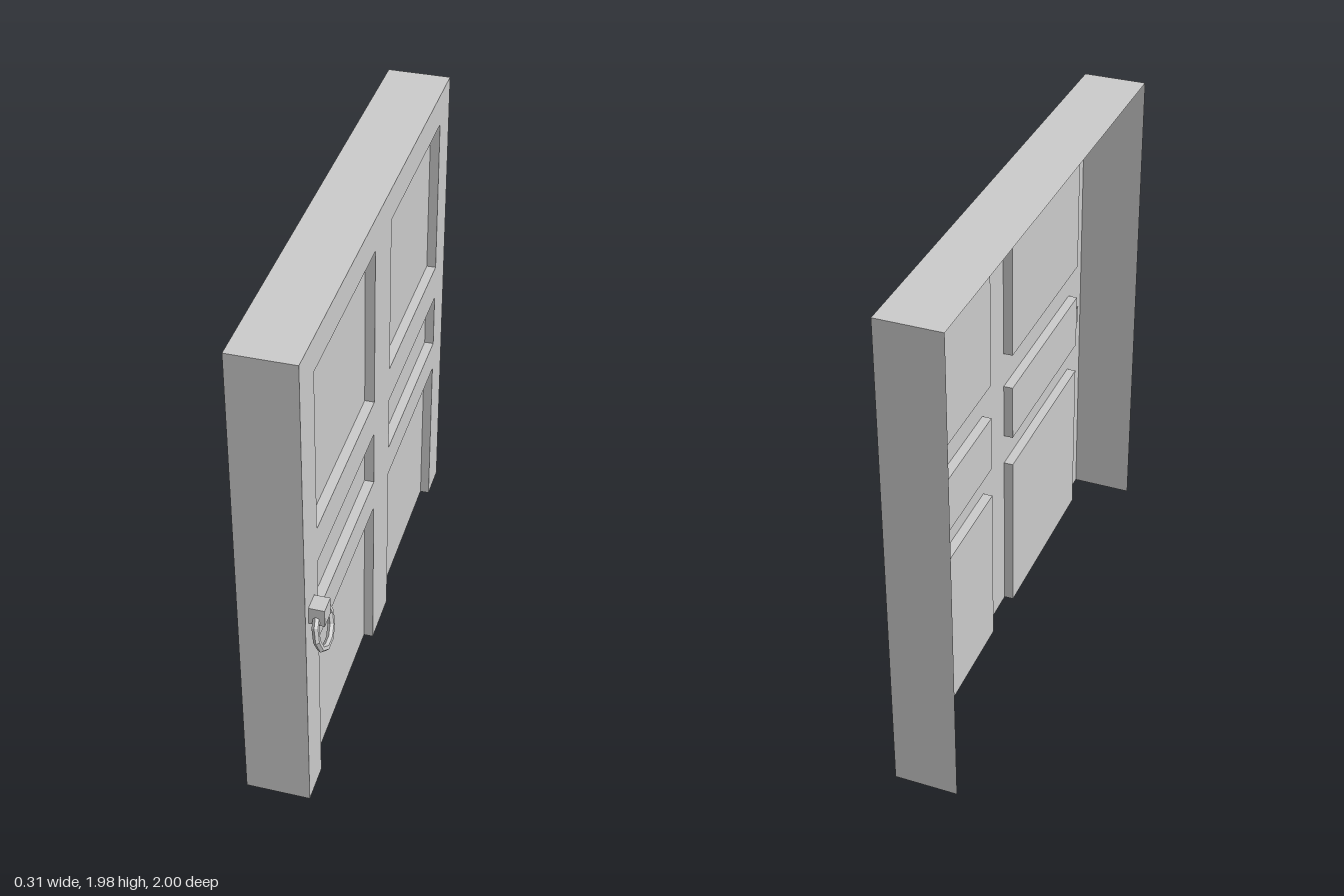
import * as THREE from 'three';

const FRONT = 0.084, BACK = -0.162, DEPTH = 0.037; // door face, open rear edge, panel recess
const Z0 = -1, Z1 = 0.985, TOP = 1.98;
const COLUMNS = [[0.1, 0.835], [-0.85, -0.118]]; // z ranges of panels
const ROWS = [[1.2, 1.852], [0.82, 1.052], [0, 0.69]]; // y ranges of panels

const sheetMaterial = new THREE.MeshStandardMaterial({ color: 0xcccccc, side: THREE.DoubleSide, flatShading: true });
const solidMaterial = new THREE.MeshStandardMaterial({ color: 0xcccccc, flatShading: true });

// Flat four-cornered sheet
function sheet(name, corners) {
  const g = new THREE.BufferGeometry();
  g.setAttribute('position', new THREE.Float32BufferAttribute(corners.flat(), 3));
  g.setIndex([0, 1, 2, 0, 2, 3]);
  g.computeVertexNormals();
  const mesh = new THREE.Mesh(g, sheetMaterial);
  mesh.name = name;
  return mesh;
}

// Wall running front to back (xa to xb) above the edge (ya, za) - (yb, zb)
const wall = (name, xa, xb, [ya, za], [yb, zb]) =>
  sheet(name, [[xa, ya, za], [xa, yb, zb], [xb, yb, zb], [xb, ya, za]]);

const points = (list) => list.map(([z, y]) => new THREE.Vector2(-z, y));

export function createModel() {
  const model = new THREE.Group();
  const door = new THREE.Group();
  door.name = 'door';
  model.add(door);

  // Door face: lower panels notch the outline, the others are holes
  const outline = [[Z1, 0]];
  for (const [za, zb] of COLUMNS) {
    const y = ROWS[2][1];
    outline.push([zb, 0], [zb, y], [za, y], [za, 0]);
  }
  outline.push([Z0, 0], [Z0, TOP], [Z1, TOP]);
  const shape = new THREE.Shape(points(outline));
  for (const [za, zb] of COLUMNS)
    for (const [ya, yb] of ROWS.slice(0, 2))
      shape.holes.push(new THREE.Path(points([[za, ya], [za, yb], [zb, yb], [zb, ya]])));
  const face = new THREE.Mesh(new THREE.ShapeGeometry(shape).rotateY(Math.PI / 2), sheetMaterial);
  face.position.x = FRONT;
  face.name = 'doorFace';
  door.add(face);

  // Outer edges, open at the rear and underneath
  door.add(
    wall('topEdge', BACK, FRONT, [TOP, Z1], [TOP, Z0]),
    wall('handleEdge', BACK, FRONT, [0, Z1], [TOP, Z1]),
    wall('hingeEdge', BACK, FRONT, [TOP, Z0], [0, Z0]),
  );

  // Recessed panels
  const inner = FRONT - DEPTH;
  for (const [za, zb] of COLUMNS) {
    for (const [ya, yb] of ROWS) {
      const panel = new THREE.Group();
      panel.name = 'recessedPanel';
      panel.add(
        sheet('panelFloor', [[inner, ya, zb], [inner, ya, za], [inner, yb, za], [inner, yb, zb]]),
        wall('panelTop', inner, FRONT, [yb, za], [yb, zb]),
        wall('panelSide', inner, FRONT, [ya, za], [yb, za]),
        wall('panelSide', inner, FRONT, [yb, zb], [ya, zb]),
      );
      if (ya > 0) panel.add(wall('panelSill', inner, FRONT, [ya, zb], [ya, za]));
      door.add(panel);
    }
  }

  // Ring handle hanging from a small block
  const handle = new THREE.Group();
  handle.name = 'handle';
  const mount = new THREE.Mesh(new THREE.BoxGeometry(0.062, 0.072, 0.07), solidMaterial);
  mount.position.set(0.111, 0.902, 0.914);
  mount.name = 'handleMount';
  const ring = new THREE.Mesh(new THREE.TorusGeometry(0.079, 0.0135, 6, 10).rotateY(Math.PI / 2), solidMaterial);
  ring.position.set(0.124, 0.825, 0.907);
  ring.rotation.z = 0.2;
  ring.name = 'handleRing';
  handle.add(mount, ring);
  model.add(handle);

  return model;
}
